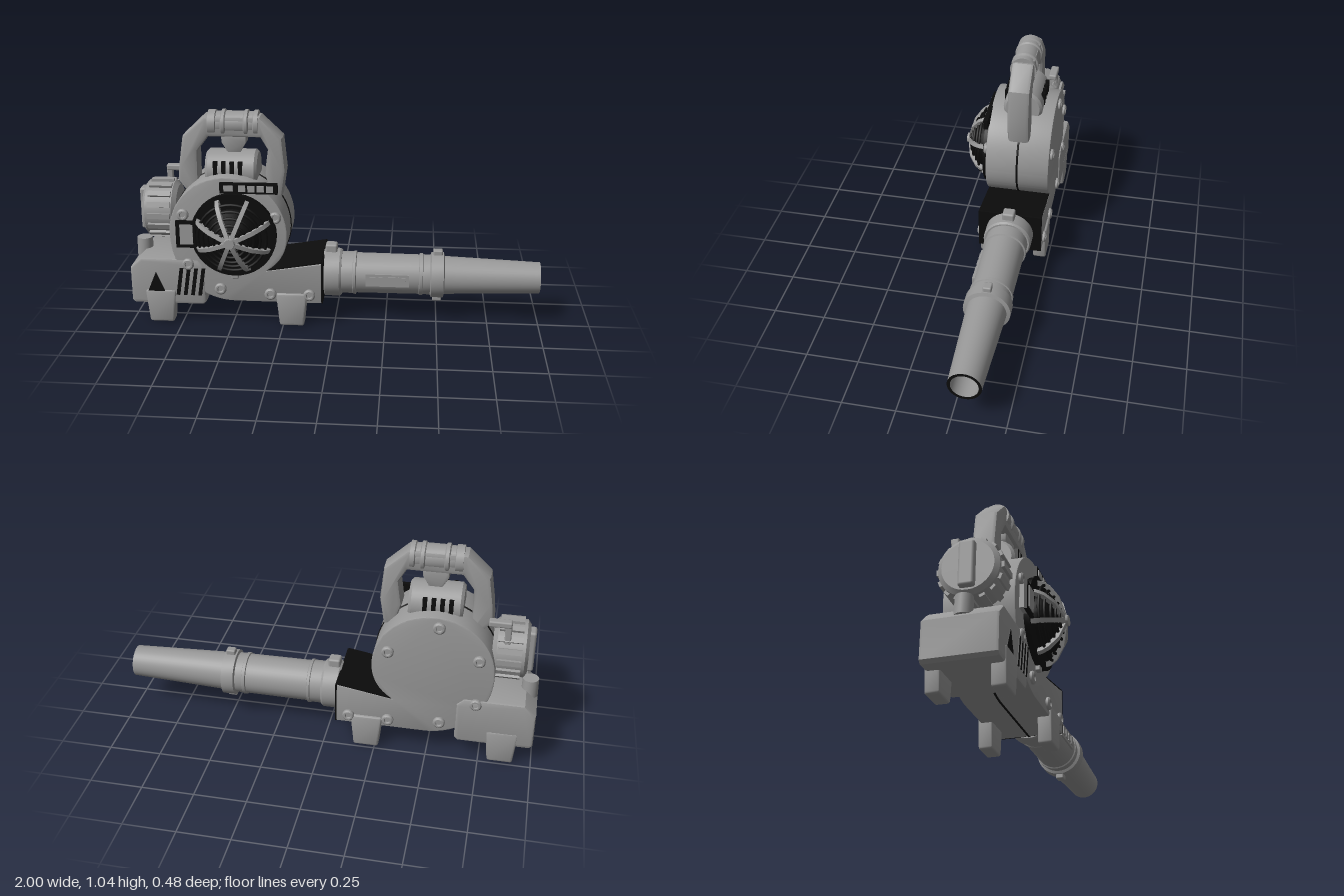
import * as THREE from 'three';
import { toCreasedNormals } from 'three/addons/utils/BufferGeometryUtils.js';
import { RoundedBoxGeometry } from 'three/addons/geometries/RoundedBoxGeometry.js';

export function createModel() {
  const model = new THREE.Group();
  const gray = new THREE.MeshStandardMaterial({ color: 0x999999 });
  gray.name = 'bodyGray';
  const black = new THREE.MeshStandardMaterial({ color: 0x0c0c0c });
  black.name = 'trimBlack';
  const ZC = -0.065; // middle plane of the machine

  const add = (name, geo, mat, x = 0, y = 0, z = 0) => {
    const m = new THREE.Mesh(geo, mat);
    m.name = name;
    m.position.set(x, y, z);
    model.add(m);
    return m;
  };
  // box given by its limits
  const box = (name, mat, x0, x1, y0, y1, z0, z1, r = 0) => add(name,
    r ? new RoundedBoxGeometry(x1 - x0, y1 - y0, z1 - z0, 2, r) : new THREE.BoxGeometry(x1 - x0, y1 - y0, z1 - z0),
    mat, (x0 + x1) / 2, (y0 + y1) / 2, (z0 + z1) / 2);
  const outline = pts => new THREE.Shape(pts.map(p => new THREE.Vector2(...p)));
  // outline extruded between two depths, with chamfered rims
  const slab = (shape, z0, z1, b = 0) => {
    const g = new THREE.ExtrudeGeometry(shape, {
      depth: z1 - z0 - 2 * b, bevelEnabled: b > 0, bevelThickness: b, bevelSize: b,
      bevelOffset: -b, bevelSegments: 2, curveSegments: 24,
    });
    g.translate(0, 0, z0 + b);
    return toCreasedNormals(g, 0.6);
  };
  // profile [radius, x] turned around an axis along x
  const turned = (pts, seg = 40) => toCreasedNormals(
    new THREE.LatheGeometry(pts.map(p => new THREE.Vector2(...p)), seg).rotateZ(-Math.PI / 2), 0.5);

  // --- scroll housing with outlet ---
  const scroll = new THREE.Shape();
  scroll.moveTo(-0.06, 0.12);
  scroll.lineTo(-0.06, 0.33);
  scroll.lineTo(-0.325, 0.285);
  scroll.quadraticCurveTo(-0.225, 0.35, -0.225, 0.47);
  scroll.absarc(-0.51, 0.47, 0.285, 0, Math.PI, false);
  scroll.bezierCurveTo(-0.795, 0.27, -0.67, 0.12, -0.48, 0.12);
  scroll.closePath();
  add('housing', slab(scroll, -0.225, 0.095, 0.006), gray);
  const seam = new THREE.ExtrudeGeometry(scroll, {
    depth: 0.006, bevelThickness: 0.002, bevelSize: 0.004, bevelSegments: 1, curveSegments: 24,
  });
  add('housingSeam', seam, black, 0, 0, ZC - 0.003);
  const outletTop = add('outletTop', new THREE.BoxGeometry(0.265, 0.006, 0.316), black, -0.192, 0.31, ZC);
  outletTop.rotation.z = Math.atan2(0.045, 0.265);
  box('outletEnd', black, -0.062, -0.055, 0.12, 0.331, -0.225, 0.095);

  // --- bolts on both faces ---
  const boltGeo = toCreasedNormals(new THREE.LatheGeometry(
    [[0, 0.008], [0.012, 0.008], [0.015, 0.016], [0.022, 0.016], [0.029, 0.01], [0.029, -0.004]]
      .reverse().map(p => new THREE.Vector2(...p)), 16).rotateX(Math.PI / 2), 0.5);
  for (const [x, y] of [[-0.725, 0.565], [-0.71, 0.31], [-0.555, 0.185], [-0.31, 0.165], [-0.12, 0.165], [-0.28, 0.56]])
    add('frontBolt', boltGeo, gray, x, y, 0.095);
  for (const [x, y] of [[-0.53, 0.705], [-0.72, 0.55], [-0.3, 0.55], [-0.72, 0.31], [-0.555, 0.185], [-0.31, 0.165], [-0.12, 0.165]])
    add('backBolt', boltGeo, gray, x, y, -0.225).rotation.y = Math.PI;

  // --- domed fan guard ---
  const fan = new THREE.Group();
  fan.name = 'fanGuard';
  fan.position.set(-0.48, 0.473, 0);
  model.add(fan);
  const addFan = (name, geo, mat) => {
    const m = new THREE.Mesh(geo, mat);
    m.name = name;
    fan.add(m);
    return m;
  };
  addFan('fanPlate', toCreasedNormals(new THREE.CylinderGeometry(0.207, 0.207, 0.03, 40).rotateX(Math.PI / 2), 0.5), black)
    .position.z = 0.105;
  addFan('fanCore', new THREE.LatheGeometry([[0.135, 0.11], [0.13, 0.16], [0.09, 0.187], [0, 0.2]]
    .map(p => new THREE.Vector2(...p)), 32).rotateX(Math.PI / 2), black);
  for (const [r, z] of [[0.165, 0.15], [0.138, 0.168], [0.11, 0.188], [0.08, 0.202], [0.052, 0.212]])
    addFan('guardRing', new THREE.TorusGeometry(r, 0.007, 6, 40), black).position.z = z;
  const ribGeo = slab(outline([[0.192, 0.115], [0.186, 0.14], [0.165, 0.17], [0.11, 0.208], [0.02, 0.232],
    [0.02, 0.21], [0.1, 0.19], [0.15, 0.155], [0.166, 0.13], [0.168, 0.115]].reverse()), -0.01, 0.01)
    .rotateX(Math.PI / 2);
  for (let i = 0; i < 8; i++)
    addFan('guardRib', ribGeo, gray).rotation.z = (i + 0.5) * Math.PI / 4;
  addFan('guardHub', toCreasedNormals(new THREE.CylinderGeometry(0.024, 0.034, 0.035, 20).rotateX(Math.PI / 2), 0.5), gray)
    .position.z = 0.223;
  box('guardTab', gray, -0.497, -0.463, 0.245, 0.275, 0.09, 0.115, 0.005);

  // --- front label strip and side switch ---
  box('labelStrip', black, -0.54, -0.265, 0.682, 0.733, 0.09, 0.112);
  box('labelButton', gray, -0.52, -0.475, 0.694, 0.722, 0.108, 0.116);
  for (let i = 0; i < 4; i++)
    box('labelCell', gray, -0.45 + i * 0.044, -0.416 + i * 0.044, 0.692, 0.723, 0.108, 0.116);
  box('switchBase', gray, -0.74, -0.67, 0.425, 0.535, 0.09, 0.122);
  box('switchFrame', black, -0.755, -0.66, 0.41, 0.545, 0.12, 0.134);
  box('switchFace', gray, -0.735, -0.672, 0.428, 0.528, 0.13, 0.138);

  // --- carrying handle ---
  add('handle', slab(outline([[-0.69, 0.6], [-0.765, 0.7], [-0.757, 0.78], [-0.735, 0.92], [-0.63, 1.02],
    [-0.36, 1.02], [-0.255, 0.92], [-0.24, 0.76], [-0.26, 0.63], [-0.31, 0.63], [-0.342, 0.74],
    [-0.325, 0.86], [-0.36, 0.92], [-0.61, 0.92], [-0.663, 0.85], [-0.665, 0.68], [-0.64, 0.6]].reverse()),
  -0.12, -0.01, 0.018), gray);
  add('grip', turned([[0, -0.61], [0.065, -0.61], [0.065, -0.575], [0.058, -0.572], [0.058, -0.55], [0.067, -0.545],
    [0.067, -0.53], [0.06, -0.525], [0.06, -0.44], [0.067, -0.435], [0.067, -0.42], [0.058, -0.415],
    [0.058, -0.395], [0.065, -0.39], [0.065, -0.37], [0, -0.37]], 28), gray, 0, 0.978, ZC);
  add('trigger', slab(outline([[-0.55, 0.93], [-0.55, 0.89], [-0.52, 0.84], [-0.46, 0.84], [-0.43, 0.89], [-0.43, 0.93]]),
    -0.1, -0.03, 0.008), gray);

  // --- motor cap with vent slots ---
  add('motorCap', turned([[0, -0.625], [0.085, -0.625], [0.098, -0.612], [0.098, -0.388], [0.085, -0.375], [0, -0.375]], 32),
    gray, 0, 0.752, ZC);
  for (const z of [0.027, -0.157])
    for (let i = 0; i < 4; i++)
      box('capSlot', black, -0.582 + i * 0.04, -0.562 + i * 0.04, 0.745, 0.812, z - 0.009, z + 0.009);

  // --- blower tube ---
  add('tube', turned([[0, -0.06], [0.112, -0.06], [0.119, -0.05], [0.119, 0.02], [0.112, 0.03], [0.104, 0.03],
    [0.104, 0.085], [0.108, 0.088], [0.108, 0.1], [0.1, 0.103], [0.098, 0.41], [0.104, 0.413], [0.104, 0.428],
    [0.099, 0.43], [0.099, 0.465], [0.112, 0.47], [0.112, 0.53], [0.094, 0.535], [0.077, 0.985], [0.077, 1]]),
  gray, 0, 0.225, ZC);
  add('tubeBore', turned([[0.065, 1], [0.08, 0.55]]), gray, 0, 0.225, ZC);
  add('tubeBoreEnd', new THREE.CircleGeometry(0.082, 32).rotateY(Math.PI / 2), black, 0.55, 0.225, ZC);
  add('tubeRim', new THREE.RingGeometry(0.063, 0.077, 40).rotateY(Math.PI / 2), black, 1, 0.225, ZC);
  box('collarLatch', gray, -0.052, 0.006, 0.31, 0.378, -0.095, -0.035, 0.01);
  for (const y of [0.338, 0.112])
    box('collarLug', gray, 0.478, 0.524, y - 0.021, y + 0.021, -0.085, -0.045, 0.007);
  box('tubePlate', gray, 0.15, 0.362, 0.195, 0.258, 0.01, 0.038);
  for (let i = 0; i < 4; i++)
    box('tubePlateCell', gray, 0.165 + i * 0.048, 0.2 + i * 0.048, 0.208, 0.246, 0.03, 0.043);

  // --- tank with markings and cap ---
  add('tank', slab(outline([[-1, 0.11], [-0.985, 0.095], [-0.645, 0.095], [-0.63, 0.11], [-0.63, 0.3],
    [-0.665, 0.333], [-0.945, 0.333], [-1, 0.28]]), -0.235, 0.1, 0.014), gray);
  add('tankTriangle', slab(outline([[-0.915, 0.163], [-0.83, 0.163], [-0.872, 0.265]]), 0.098, 0.104), black);
  for (let i = 0; i < 4; i++) {
    const x = -0.775 + i * 0.036;
    add('tankStripe', slab(outline([[x, 0.147], [x + 0.018, 0.147], [x + 0.04, 0.288], [x + 0.022, 0.288]]), 0.098, 0.104), black);
  }
  add('tankCap', toCreasedNormals(new THREE.CylinderGeometry(0.038, 0.04, 0.09, 20), 0.5), gray, -0.96, 0.34, ZC);

  // --- ribbed starter drum at the left end ---
  add('starterDrum', turned([[0, -0.935], [0.115, -0.935], [0.135, -0.92], [0.135, -0.79], [0.115, -0.77], [0, -0.77]], 32),
    gray, 0, 0.545, ZC);
  for (let i = 0; i < 16; i++) {
    const a = i * Math.PI / 8;
    const rib = add('starterRib', new THREE.BoxGeometry(0.11, 0.02, 0.026), gray,
      -0.85, 0.545 + Math.cos(a) * 0.137, ZC + Math.sin(a) * 0.137);
    rib.rotation.x = a;
  }
  box('starterGrip', gray, -0.963, -0.92, 0.44, 0.65, -0.1, -0.03, 0.012);
  box('drumLeverArm', gray, -0.85, -0.745, 0.708, 0.738, -0.18, -0.14, 0.008);
  box('drumLeverPost', gray, -0.85, -0.82, 0.62, 0.735, -0.175, -0.145, 0.006);

  // --- four tapered feet ---
  const foot = new RoundedBoxGeometry(0.155, 0.17, 0.068, 2, 0.012);
  const p = foot.attributes.position;
  for (let i = 0; i < p.count; i++) p.setX(i, p.getX(i) * (0.885 + p.getY(i) * 1.3));
  const footGeo = toCreasedNormals(foot, 0.6);
  for (const z of [0.072, -0.204]) {
    add('tankFoot', footGeo, gray, -0.853, 0.085, z);
    add('outletFoot', footGeo, gray, -0.207, 0.085, z);
  }
  return model;
}
